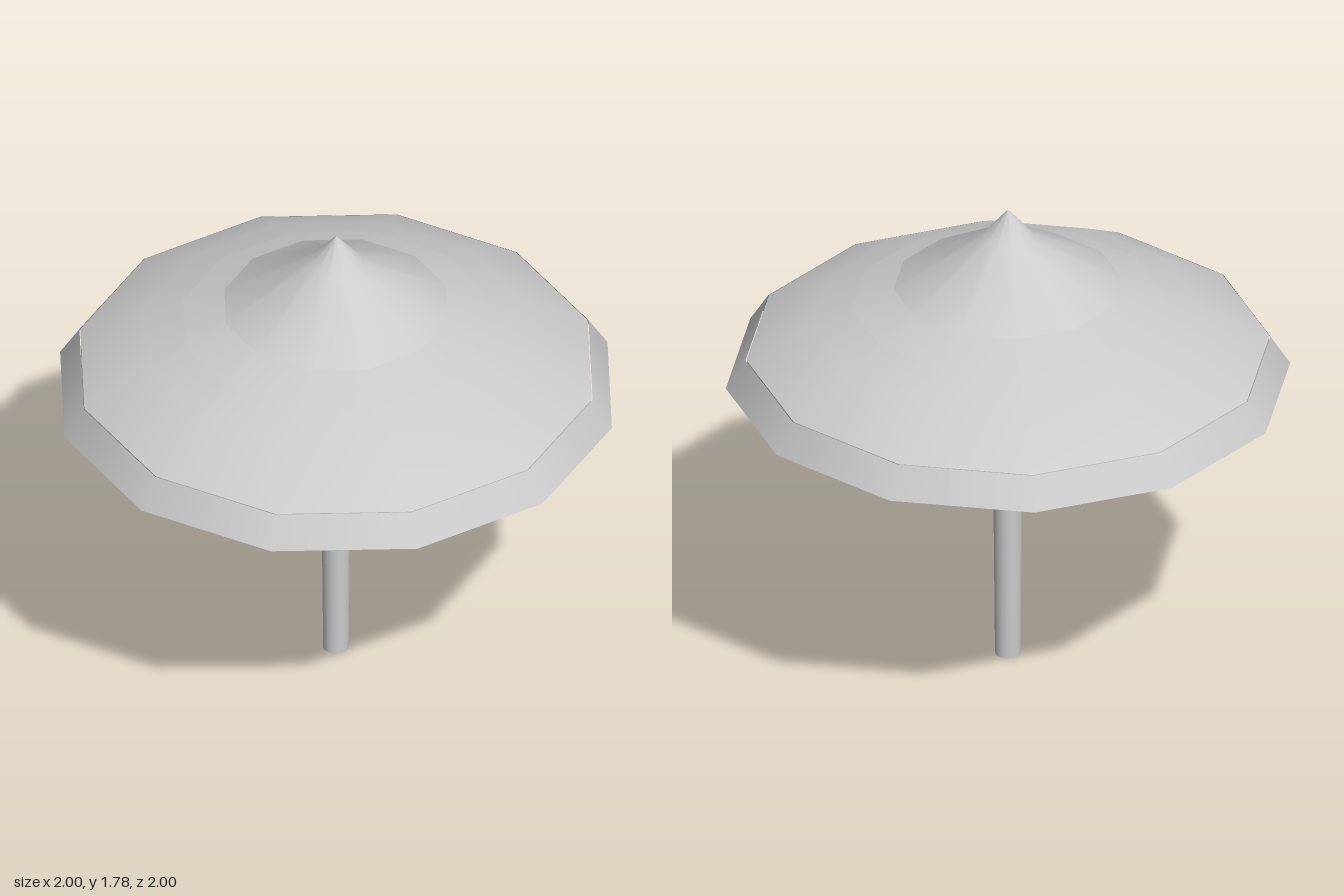
import * as THREE from 'three';

const SIDES = 12;
const material = new THREE.MeshStandardMaterial({ color: 0xcccccc, side: THREE.DoubleSide });

// Twelve-sided open shell turned from [radius, height] pairs, bottom to top
function shell(name, profile, sides = SIDES) {
  const points = profile.map(([r, y]) => new THREE.Vector2(r, y));
  const mesh = new THREE.Mesh(new THREE.LatheGeometry(points, sides), material);
  mesh.name = name;
  return mesh;
}

// Hanging flap on one side of the canopy, narrowing towards its lower edge
function flapGeometry(radius, top, bottom, taper) {
  const half = radius * Math.sin(Math.PI / SIDES);
  const shape = new THREE.Shape([
    new THREE.Vector2(-half + taper, bottom),
    new THREE.Vector2(half - taper, bottom),
    new THREE.Vector2(half, top),
    new THREE.Vector2(-half, top),
  ]);
  return new THREE.ShapeGeometry(shape).translate(0, 0, radius * Math.cos(Math.PI / SIDES));
}

export function createModel() {
  const group = new THREE.Group();
  group.name = 'parasol';

  // Slightly tapered hollow pole
  group.add(shell('pole', [[0.046, 0], [0.056, 1.115], [0.056, 1.6]], 16));

  // Three overlapping roof tiers and the flared rim
  group.add(shell('skirt', [[1, 1.115], [0.93, 1.225]]));
  group.add(shell('canopy', [[0.927, 1.226], [0.69, 1.36], [0.29, 1.48]]));
  group.add(shell('middleTier', [[0.555, 1.415], [0.29, 1.5]]));
  group.add(shell('topTier', [[0.405, 1.485], [0.095, 1.675], [0, 1.785]]));

  // Valance of separate flaps inside the rim
  const valance = new THREE.Group();
  valance.name = 'valance';
  const geometry = flapGeometry(0.925, 1.225, 1.14, 0.022);
  for (let i = 0; i < SIDES; i++) {
    const flap = new THREE.Mesh(geometry, material);
    flap.name = 'flap';
    flap.rotation.y = ((i + 0.5) / SIDES) * Math.PI * 2;
    valance.add(flap);
  }
  group.add(valance);

  return group;
}
